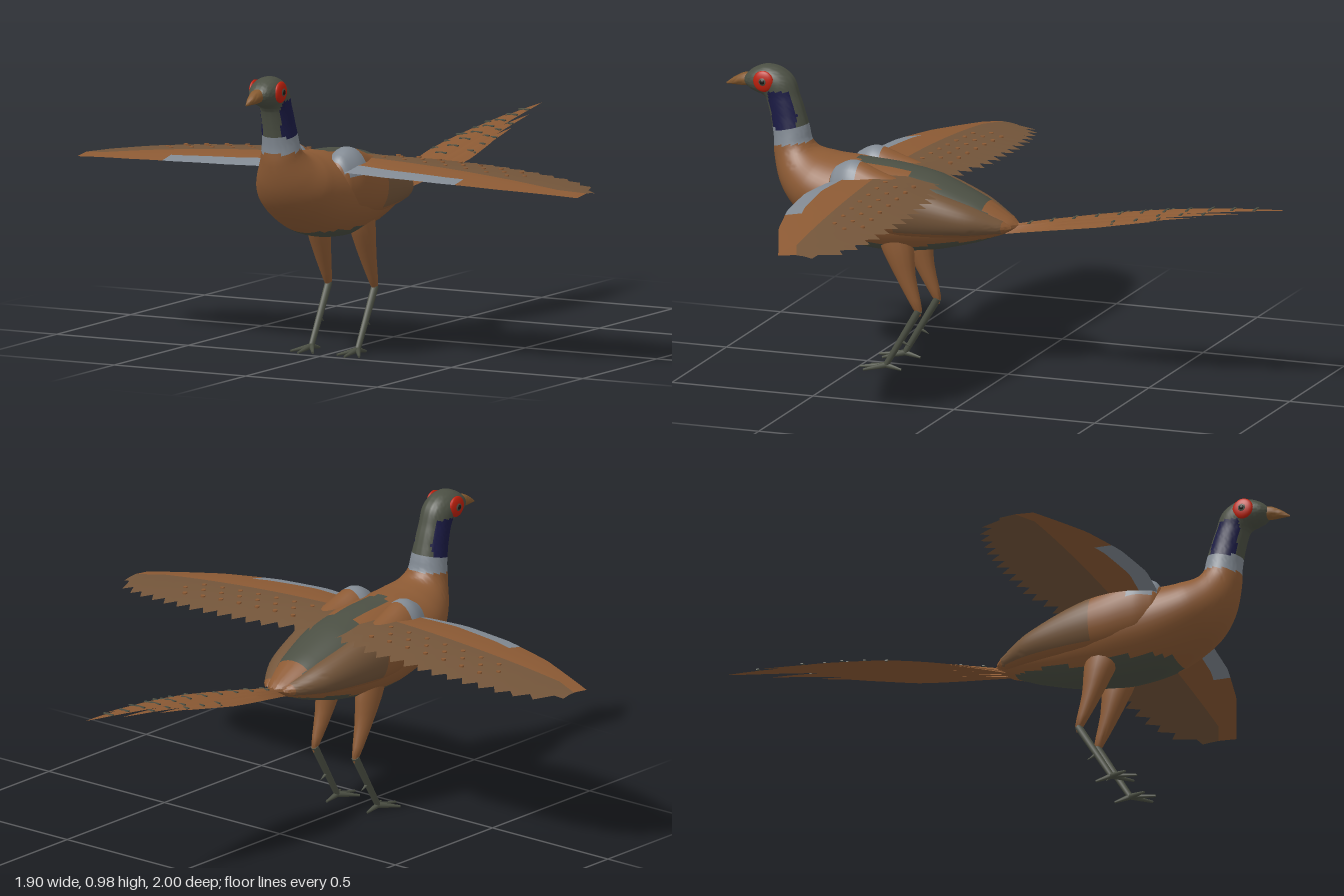
import * as THREE from 'three';
import { toCreasedNormals } from 'three/addons/utils/BufferGeometryUtils.js';

const mat = (name, color) => {
  const m = new THREE.MeshStandardMaterial({ color });
  m.name = name;
  return m;
};
const brown = mat('chestnut', 0x8c5a34);
const dull = mat('dullBrown', 0x73553a);
const green = mat('greyGreen', 0x4b4f43);
const grey = mat('paleGrey', 0x828a93);
const navy = mat('navy', 0x1b1b45);
const red = mat('red', 0xbd200c);
const horn = mat('horn', 0x84592f);
const black = mat('black', 0x1a1712);

// Closed skin of nu strips around nv points; pick() chooses the material of each quad
function surface(name, nu, nv, point, pick, side = 1) {
  const pts = [], faces = new Map();
  for (let i = 0; i <= nu; i++)
    for (let j = 0; j < nv; j++) {
      const p = point(i, j);
      pts.push(new THREE.Vector3(p.x * side, p.y, p.z));
    }
  for (let i = 0; i < nu; i++)
    for (let j = 0; j < nv; j++) {
      const a = i * nv + j, b = i * nv + (j + 1) % nv, c = a + nv, d = b + nv;
      const mid = pts[a].clone().add(pts[b]).add(pts[c]).add(pts[d]).multiplyScalar(0.25);
      const m = pick(mid, i, j);
      if (!faces.has(m)) faces.set(m, []);
      faces.get(m).push(...(side > 0 ? [a, b, c, b, d, c] : [a, c, b, b, c, d]));
    }
  const geo = new THREE.BufferGeometry().setFromPoints(pts);
  const index = [];
  [...faces.values()].forEach((f, k) => {
    geo.addGroup(index.length, f.length, k);
    index.push(...f);
  });
  geo.setIndex(index);
  const mesh = new THREE.Mesh(toCreasedNormals(geo, 0.8), [...faces.keys()]);
  mesh.name = name;
  return mesh;
}

// Smooth loft through elliptic rings [cx, cy, cz, hx, hy, hz]
function loft(name, rings, nu, nv, pick, side = 1) {
  const centre = new THREE.CatmullRomCurve3(rings.map(r => new THREE.Vector3(r[0], r[1], r[2])));
  const half = new THREE.CatmullRomCurve3(rings.map(r => new THREE.Vector3(r[3], r[4], r[5])));
  return surface(name, nu, nv, (i, j) => {
    const a = (j / nv) * Math.PI * 2, c = centre.getPoint(i / nu), h = half.getPoint(i / nu);
    return new THREE.Vector3(c.x + h.x * Math.cos(a), c.y + h.y * Math.sin(a), c.z + h.z * Math.sin(a));
  }, pick, side);
}

// Ring from its upper and lower points in the side profile
const ring = ([zt, yt, zb, yb, w]) => [0, (yt + yb) / 2, (zt + zb) / 2, w, (yt - yb) / 2, (zt - zb) / 2];

// Straight tapered rod between two points
function rod(name, a, b, ra, rb, material) {
  const p = new THREE.Vector3(...a), q = new THREE.Vector3(...b), d = q.clone().sub(p);
  const mesh = new THREE.Mesh(new THREE.CylinderGeometry(rb, ra, d.length(), 8), material);
  mesh.quaternion.setFromUnitVectors(new THREE.Vector3(0, 1, 0), d.normalize());
  mesh.position.copy(p.add(q).multiplyScalar(0.5));
  mesh.name = name;
  return mesh;
}

// Piecewise linear lookup
function lookup(table, x) {
  for (let k = 1; k < table.length; k++) {
    const [x0, y0] = table[k - 1], [x1, y1] = table[k];
    if (x <= x1) return y0 + (y1 - y0) * (x - x0) / (x1 - x0);
  }
  return table[table.length - 1][1];
}

// Body, neck and head in one loft
function bodyColour(p) {
  const x = Math.abs(p.x), collar = 0.05 * (p.z - 0.76) * -3;
  if (p.z > 0.68 && p.y > 0.785 + collar) {
    return p.y < 0.905 && x > 0.036 && p.z > 0.735 && p.z < 0.835 ? navy : green;
  }
  if (p.z > 0.68 && p.y > 0.73 + collar) return grey;
  if (p.y > 0.55 && p.z > 0.06 && p.z < 0.52 && x < (p.z < 0.33 ? 0.1 : 0.045)) return green;
  if (p.z > 0.03 && p.z < 0.6 && p.y < 0.435 + Math.max(0, 0.3 - p.z) * 0.15) return green;
  return brown;
}
const bodyRings = [
  [-0.045, 0.515, -0.045, 0.513, 0.003], [-0.02, 0.535, -0.02, 0.496, 0.035],
  [0.09, 0.6, 0.1, 0.448, 0.095], [0.25, 0.665, 0.25, 0.41, 0.14],
  [0.4, 0.69, 0.42, 0.395, 0.165], [0.53, 0.7, 0.58, 0.42, 0.16],
  [0.63, 0.708, 0.73, 0.503, 0.135], [0.68, 0.72, 0.795, 0.585, 0.1],
  [0.7, 0.745, 0.823, 0.68, 0.07], [0.707, 0.78, 0.827, 0.745, 0.061],
  [0.72, 0.825, 0.838, 0.81, 0.055], [0.738, 0.88, 0.853, 0.865, 0.052],
  [0.762, 0.945, 0.868, 0.883, 0.054], [0.805, 0.978, 0.885, 0.888, 0.055],
  [0.855, 0.986, 0.905, 0.895, 0.05], [0.9, 0.97, 0.922, 0.907, 0.038],
  [0.928, 0.945, 0.934, 0.92, 0.018], [0.935, 0.932, 0.935, 0.93, 0.001],
].map(ring);
const beakRings = [
  [0.9, 0.955, 0.905, 0.908, 0.028], [0.935, 0.95, 0.935, 0.905, 0.023],
  [0.97, 0.932, 0.968, 0.905, 0.013], [1, 0.909, 0.999, 0.905, 0.001],
].map(ring);

// Rounded flank below each wing
const flankRings = [
  [0.035, 0.512, -0.025, 0.004, 0.004, 0], [0.04, 0.514, 0, 0.028, 0.02, 0],
  [0.078, 0.532, 0.1, 0.052, 0.05, 0], [0.108, 0.555, 0.25, 0.058, 0.08, 0],
  [0.112, 0.575, 0.4, 0.07, 0.105, 0], [0.105, 0.597, 0.5, 0.074, 0.117, 0],
  [0.105, 0.602, 0.57, 0.05, 0.085, 0], [0.105, 0.605, 0.605, 0.005, 0.01, 0],
];
const flankColour = p =>
  p.z > 0.48 && p.z < 0.58 && p.y > 0.63 ? grey : p.z < 0.35 && p.z > 0 && p.y > 0.495 ? dull : brown;

// Wing outline: leading and trailing edges as [x, z]
const LEAD = [[0.04, 0.55], [0.15, 0.585], [0.3, 0.605], [0.5, 0.59], [0.7, 0.545], [0.95, 0.45]];
const TRAIL = [[0.04, 0.2], [0.15, 0.19], [0.25, 0.16], [0.5, 0.155], [0.65, 0.17], [0.8, 0.2], [0.9, 0.25], [0.95, 0.33]];
function wingHeight(x, z) {
  const lead = lookup(LEAD, x), t = (lead - z) / (lead - lookup(TRAIL, x));
  return 0.66 - 0.065 * x * x - 0.09 * (t - 0.5) ** 2 * (1 - x * 0.8);
}
function buildWing(side) {
  const group = new THREE.Group(), cols = 30;
  group.name = side > 0 ? 'leftWing' : 'rightWing';
  const point = (i, j) => {
    const x = 0.04 + 0.91 * i / cols, lead = lookup(LEAD, x);
    const trail = lookup(TRAIL, x) + (i % 2 ? 0.038 : 0);
    const split = Math.min(0.42, lead - 0.065), k = j <= 4 ? j : 8 - j;
    const z = [lead, lead - 0.06, split, (split + trail) / 2, trail][k];
    const thick = [0, 0.009, 0.01, 0.006, 0][k] * (1 - i / cols) + (k % 4 ? 0.0015 : 0);
    return new THREE.Vector3(x, wingHeight(x, z) + (j <= 4 ? -thick : thick), z);
  };
  group.add(surface('wingFeathers', cols, 8, point, (p, i, j) => {
    const k = Math.min(j, 7 - j);
    return k > 1 ? dull : k === 0 && i < 17 ? grey : brown;
  }, side));
  // Small spots on the flight feathers
  for (let r = 0; r < 3; r++)
    for (let n = 0; n < 7; n++) {
      const x = 0.17 + n * 0.078 + (r % 2) * 0.04, z = 0.27 + r * 0.05;
      const spot = new THREE.Mesh(new THREE.CylinderGeometry(0.008, 0.008, 0.006, 8), brown);
      spot.position.set(side * x, wingHeight(x, z) + 0.0075 * (1 - x) + 0.001, z);
      spot.name = 'wingSpot';
      group.add(spot);
    }
  return group;
}

// Tail feathers share one upward curve
const tailHeight = t => 0.51 + 0.23 * t - 0.085 * t * t;
function buildTail() {
  const tail = new THREE.Group();
  tail.name = 'tail';
  [[0, 1, 0.036], [0.036, 0.85, 0.026], [0.06, 0.69, 0.026], [0.068, 0.56, 0.027]].forEach(([offset, length, width], n) => {
    const at = t => 0.25 + 0.75 * Math.sin(Math.min(t / 0.42, 1) * Math.PI / 2);
    for (const side of n ? [1, -1] : [1]) {
      tail.add(surface('tailFeather', 16, 4, (i, j) => {
        const t = length * i / 16, taper = Math.min(1, (1 - i / 16) * 2.6) ** 0.8;
        const x = offset * at(t) + [1, 0, -1, 0][j] * width * at(t) * taper;
        const y = tailHeight(t) - n * 0.006 + [-0.004, -0.004, -0.004, 0.004][j] * taper;
        return new THREE.Vector3(x, y, -t);
      }, () => brown, side));
      // Dark cross bars near the exposed part of each feather
      for (let t = n ? Math.max(0.4, length - 0.3) : 0.08; t < length - 0.08; t += 0.08) {
        const bar = new THREE.Mesh(new THREE.BoxGeometry(n ? 0.022 : 0.04, 0.004, 0.009), green);
        bar.position.set(side * (offset * at(t) + (n ? 0.006 : 0)), tailHeight(t) - n * 0.006 + 0.002, -t);
        bar.rotation.x = 0.15;
        bar.name = 'tailBar';
        tail.add(bar);
      }
    }
  });
  return tail;
}

// Leg with feathered thigh, bare shank, spur and four toes
function buildLeg(side) {
  const leg = new THREE.Group(), x = 0.088 * side;
  leg.name = side > 0 ? 'leftLeg' : 'rightLeg';
  leg.add(loft('thigh', [
    [0.085, 0.49, 0.375, 0.038, 0, 0.06], [0.085, 0.43, 0.362, 0.039, 0, 0.058],
    [0.086, 0.33, 0.332, 0.029, 0, 0.036], [0.088, 0.22, 0.288, 0.012, 0, 0.016],
    [0.088, 0.195, 0.28, 0.002, 0, 0.003],
  ], 12, 14, () => brown, side));
  leg.add(rod('shank', [x, 0.215, 0.283], [x, 0.018, 0.4], 0.013, 0.01, green));
  leg.add(rod('spur', [x, 0.105, 0.345], [x, 0.09, 0.315], 0.007, 0.001, green));
  for (const [dx, z] of [[0, 0.49], [-0.042, 0.465], [0.042, 0.465], [0, 0.345]])
    leg.add(rod('toe', [x, 0.018, 0.4], [x + dx, 0.006, z], 0.01, 0.004, green));
  return leg;
}

// Round red face patch with an eye
function buildFace(side) {
  const face = new THREE.Group();
  face.name = side > 0 ? 'leftFace' : 'rightFace';
  [['wattle', 0.049, 0.036, 0.012, red], ['eyeRing', 0.057, 0.015, 0.006, green], ['pupil', 0.06, 0.009, 0.005, black]]
    .forEach(([name, x, r, depth, material]) => {
      const disc = new THREE.Mesh(new THREE.SphereGeometry(r, 20, 12), material);
      disc.scale.x = depth / r;
      disc.position.set(side * x, 0.937, 0.85);
      disc.name = name;
      face.add(disc);
    });
  return face;
}

export function createModel() {
  const bird = new THREE.Group();
  bird.name = 'bird';
  bird.add(loft('body', bodyRings, 102, 48, bodyColour));
  bird.add(loft('beak', beakRings, 10, 16, () => horn));
  bird.add(buildTail());
  for (const side of [1, -1]) {
    bird.add(loft('flank', flankRings, 48, 28, flankColour, side));
    bird.add(buildWing(side), buildLeg(side), buildFace(side));
  }
  return bird;
}
